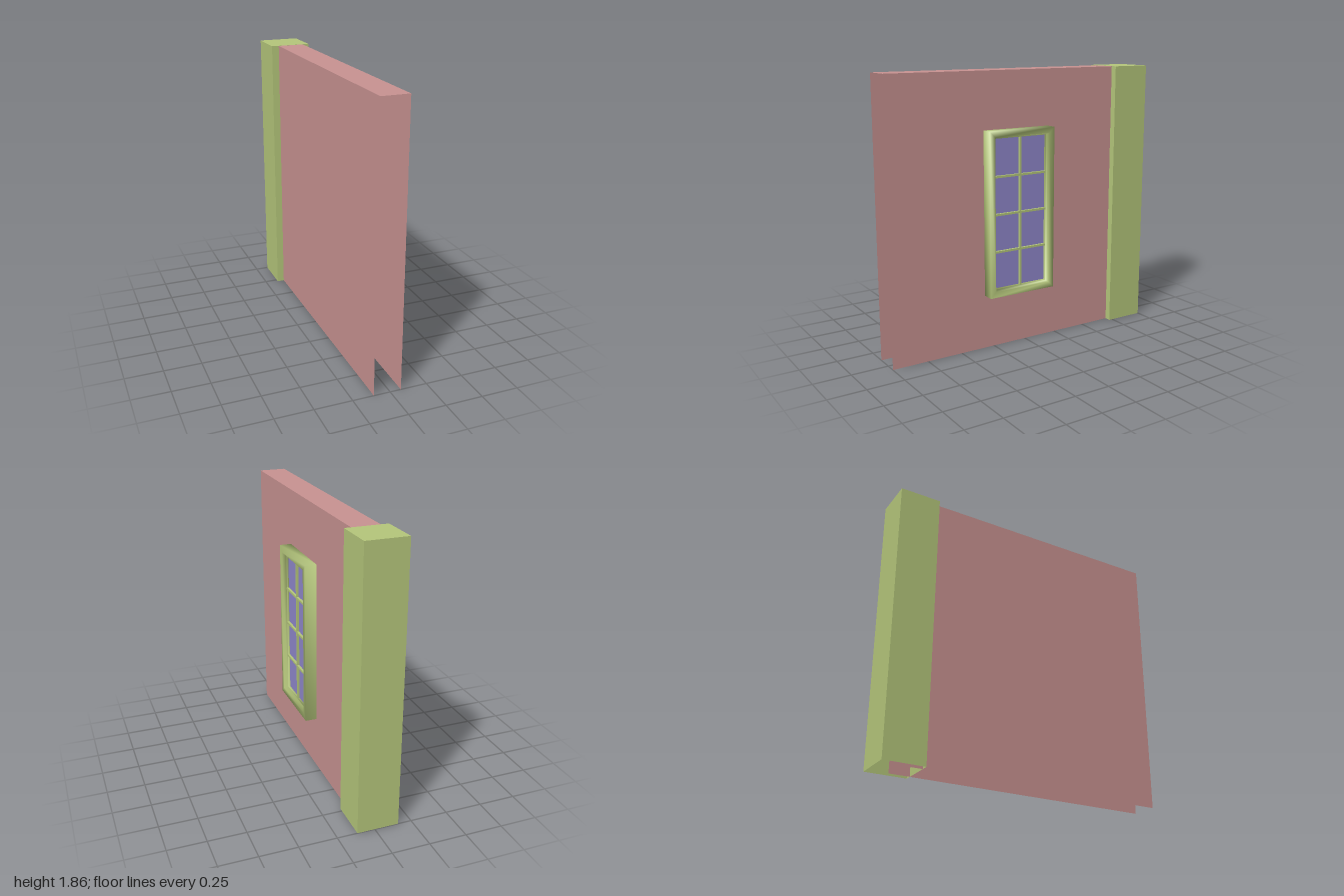
import * as THREE from 'three';

const paint = (color) => new THREE.MeshStandardMaterial({ color, side: THREE.DoubleSide });
const RED = paint(0xc99392), GREEN = paint(0xb5c77b), BLUE = paint(0x9088cc);

function add(group, name, geometry, material) {
  const mesh = new THREE.Mesh(geometry, material);
  mesh.name = name;
  group.add(mesh);
  return mesh;
}

// Box between two corners; sides lists the faces kept: 0 +x, 1 -x, 2 +y, 3 -y, 4 +z, 5 -z
function box([x0, y0, z0], [x1, y1, z1], sides = [0, 1, 2, 3, 4, 5]) {
  const g = new THREE.BoxGeometry(x1 - x0, y1 - y0, z1 - z0);
  const index = Array.from(g.index.array);
  g.clearGroups();
  g.setIndex(sides.flatMap((s) => index.slice(s * 6, s * 6 + 6)));
  return g.translate((x0 + x1) / 2, (y0 + y1) / 2, (z0 + z1) / 2);
}

// Mitred rectangular frame: profile points are [inset from the outer edge, x]
function frame(z0, z1, y0, y1, profile) {
  const pos = [], index = [];
  for (const [i, x] of profile) {
    pos.push(x, y0 + i, z1 - i, x, y0 + i, z0 + i, x, y1 - i, z0 + i, x, y1 - i, z1 - i);
  }
  for (let r = 0; r < profile.length - 1; r++) {
    for (let c = 0; c < 4; c++) {
      const a = r * 4 + c, b = r * 4 + (c + 1) % 4;
      index.push(a, b, b + 4, a, b + 4, a + 4);
    }
  }
  const g = new THREE.BufferGeometry();
  g.setAttribute('position', new THREE.Float32BufferAttribute(pos, 3));
  g.setIndex(index);
  g.computeVertexNormals();
  return g;
}

function createWindow() {
  const g = new THREE.Group();
  g.name = 'window';

  // Outer casing with a stepped inner lip
  add(g, 'windowCasing', frame(-0.18, 0.32, 0.37, 1.48,
    [[0, 0.075], [0, 0.155], [0.04, 0.155], [0.043, 0.125], [0.052, 0.125], [0.052, 0.108]]), GREEN);

  // Glazing bars
  const z0 = -0.13, z1 = 0.27, y0 = 0.42, y1 = 1.43, mid = (z0 + z1) / 2;
  add(g, 'verticalBar', box([0.105, y0, mid - 0.007], [0.128, y1, mid + 0.007]), GREEN);
  const rows = 4, pitch = (y1 - y0) / rows;
  for (let r = 1; r < rows; r++) {
    const y = y0 + r * pitch;
    add(g, 'horizontalBar', box([0.105, y - 0.007, z0], [0.128, y + 0.007, z1]), GREEN);
  }

  // Glass panes
  for (let r = 0; r < rows; r++) {
    for (const z of [z0, mid]) {
      const pane = new THREE.PlaneGeometry(mid - z0, pitch).rotateY(Math.PI / 2);
      pane.translate(0.112, y0 + (r + 0.5) * pitch, z + (mid - z0) / 2);
      add(g, 'pane', pane, BLUE);
    }
  }
  return g;
}

export function createModel() {
  const model = new THREE.Group();
  model.name = 'wallSection';

  // Hollow wall, open at the ends and underneath, running into the pillar
  add(model, 'wall', box([-0.11, 0, -0.86], [0.073, 1.859, 1], [0, 1, 2]), RED);

  // Corner pillar, open underneath
  add(model, 'pillar', box([-0.16, 0, -1], [0.117, 1.86, -0.723], [0, 1, 2, 4, 5]), GREEN);

  model.add(createWindow());
  return model;
}
